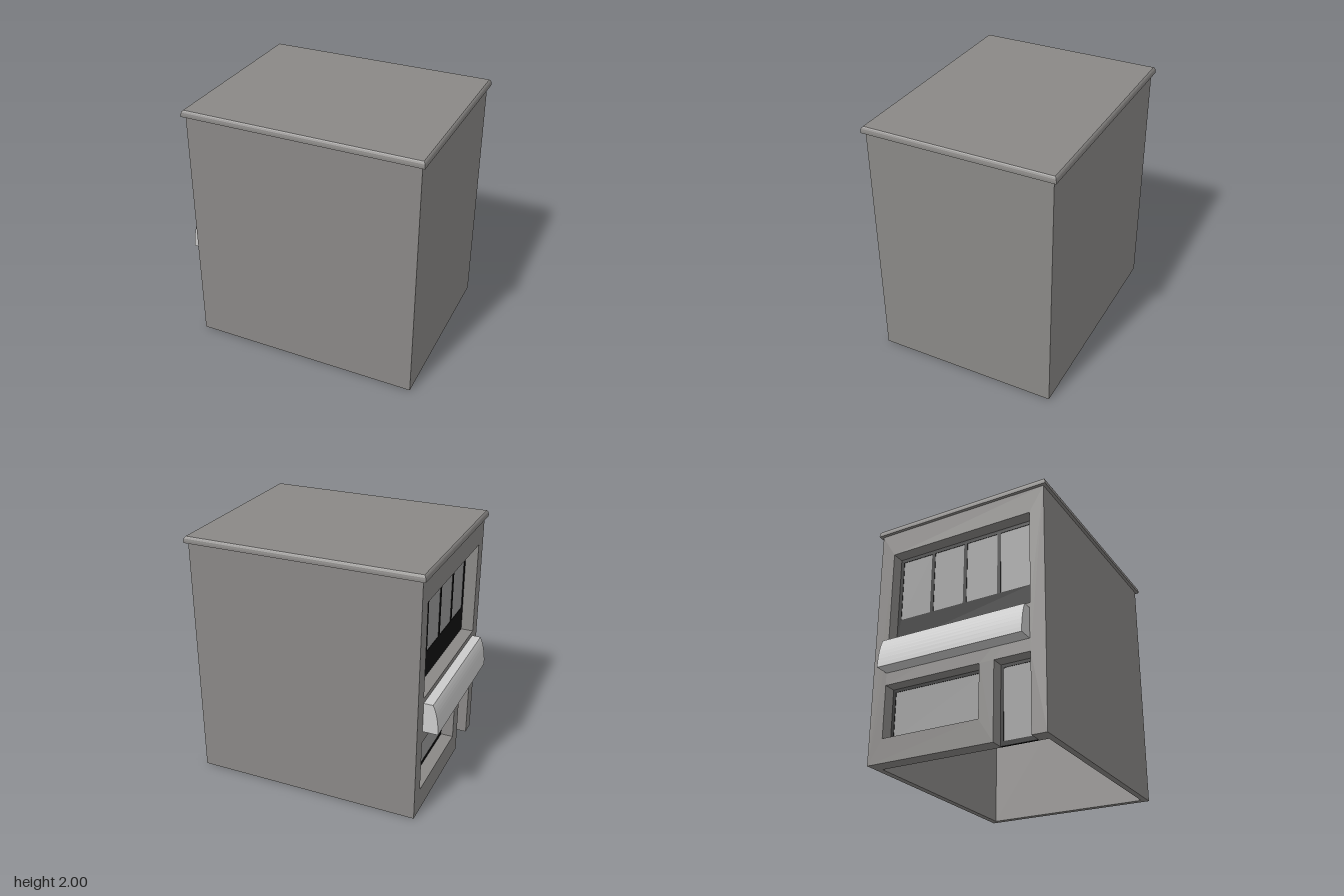
import * as THREE from 'three';

const wallMat = new THREE.MeshStandardMaterial({ color: 0x8a8886 });
const frameMat = new THREE.MeshStandardMaterial({ color: 0x111111 });
const paneMat = new THREE.MeshStandardMaterial({ color: 0x999999 });
const awningMat = new THREE.MeshStandardMaterial({ color: 0xcccccc });

// Main block limits
const X0 = -0.87, X1 = 0.96, Z = 0.73, TOP = 1.95;
const WALL = 0.05, FACADE = 0.11;
const INNER = X0 + FACADE + 0.01; // inner face of the facade wall

function add(group, name, geometry, material) {
  const mesh = new THREE.Mesh(geometry, material);
  mesh.name = name;
  group.add(mesh);
  return mesh;
}

function box(group, name, material, x0, x1, y0, y1, z0, z1) {
  const mesh = add(group, name, new THREE.BoxGeometry(x1 - x0, y1 - y0, z1 - z0), material);
  mesh.position.set((x0 + x1) / 2, (y0 + y1) / 2, (z0 + z1) / 2);
}

const rect = (z0, z1, y0, y1, Kind = THREE.Path) => new Kind([
  [z0, y0], [z1, y0], [z1, y1], [z0, y1],
].map(([z, y]) => new THREE.Vector2(z, y)));

// Extrudes a shape drawn in (z, y) outwards from the inner face of the facade
function facadePlate(shape, depth) {
  return new THREE.ExtrudeGeometry(shape, { depth, bevelEnabled: false })
    .rotateY(-Math.PI / 2).translate(INNER, 0, 0);
}

// Dark frame holding a row of equal panes
function glazing(name, z0, z1, y0, y1, count, border, bottom) {
  const group = new THREE.Group();
  group.name = name;
  const shape = rect(z0, z1, y0, y1, THREE.Shape);
  const step = (z1 - z0 - border) / count;
  for (let i = 0; i < count; i++) {
    const a = z0 + border + i * step, b = a + step - border;
    shape.holes.push(rect(a, b, y0 + bottom, y1 - border));
    box(group, 'pane', paneMat, INNER - 0.016, INNER - 0.004, y0 + bottom, y1 - border, a, b);
  }
  add(group, 'frame', facadePlate(shape, 0.02), frameMat);
  return group;
}

// Rectangular rings stacked by a profile of [height, overhang], closed above and below
function corniceGeometry(profile) {
  const pos = [];
  const ring = ([y, o]) => [
    [X0 - o, y, Z + o], [X1 + o, y, Z + o], [X1 + o, y, -Z - o], [X0 - o, y, -Z - o],
  ];
  const quad = (a, b, c, d) => pos.push(...a, ...b, ...c, ...a, ...c, ...d);
  const rings = profile.map(ring);
  for (let i = 0; i + 1 < rings.length; i++) {
    for (let k = 0; k < 4; k++) {
      const n = (k + 1) % 4;
      quad(rings[i][k], rings[i][n], rings[i + 1][n], rings[i + 1][k]);
    }
  }
  quad(...rings[rings.length - 1]);
  quad(...rings[0].slice().reverse());
  const g = new THREE.BufferGeometry();
  g.setAttribute('position', new THREE.Float32BufferAttribute(pos, 3));
  g.computeVertexNormals();
  return g;
}

export function createModel() {
  const model = new THREE.Group();
  model.name = 'shopBuilding';

  // Three plain walls around a hollow, open-bottomed interior
  box(model, 'sideWallFront', wallMat, INNER, X1, 0, TOP, Z - WALL, Z);
  box(model, 'sideWallBack', wallMat, INNER, X1, 0, TOP, -Z, -Z + WALL);
  box(model, 'rearWall', wallMat, X1 - WALL, X1, 0, TOP, -Z + WALL, Z - WALL);

  // Facade wall with a door notch, a shop window and an upper window
  const outline = [
    [-Z, 0], [0.32, 0], [0.32, 0.61], [0.61, 0.61], [0.61, 0], [Z, 0], [Z, TOP], [-Z, TOP],
  ];
  const facade = new THREE.Shape(outline.map(([z, y]) => new THREE.Vector2(z, y)));
  facade.holes.push(rect(-0.61, 0.2, 0.19, 0.61), rect(-0.61, 0.61, 0.99, 1.75));
  add(model, 'facadeWall', facadePlate(facade, INNER - X0), wallMat);

  // Windows and door
  model.add(glazing('upperWindow', -0.61, 0.61, 0.99, 1.75, 4, 0.03, 0.21));
  model.add(glazing('shopWindow', -0.61, 0.2, 0.19, 0.61, 1, 0.025, 0.025));
  model.add(glazing('door', 0.32, 0.61, 0, 0.61, 1, 0.025, 0.035));

  // Flat roof with a rounded cornice edge
  const profile = [[TOP, 0.025], [1.968, 0.025], [1.983, 0.022], [1.993, 0.017], [2, 0.01]];
  add(model, 'roofCornice', corniceGeometry(profile), wallMat);

  // Curved awning above the shop front
  const side = new THREE.Shape();
  side.moveTo(X0, 0.71);
  side.lineTo(X0, 0.95);
  side.lineTo(-0.942, 0.95);
  side.quadraticCurveTo(-0.986, 0.86, -0.99, 0.71);
  side.closePath();
  const awning = new THREE.ExtrudeGeometry(side, { depth: 1.215, bevelEnabled: false, curveSegments: 8 });
  add(model, 'awning', awning.translate(0, 0, -0.61), awningMat);

  return model;
}
